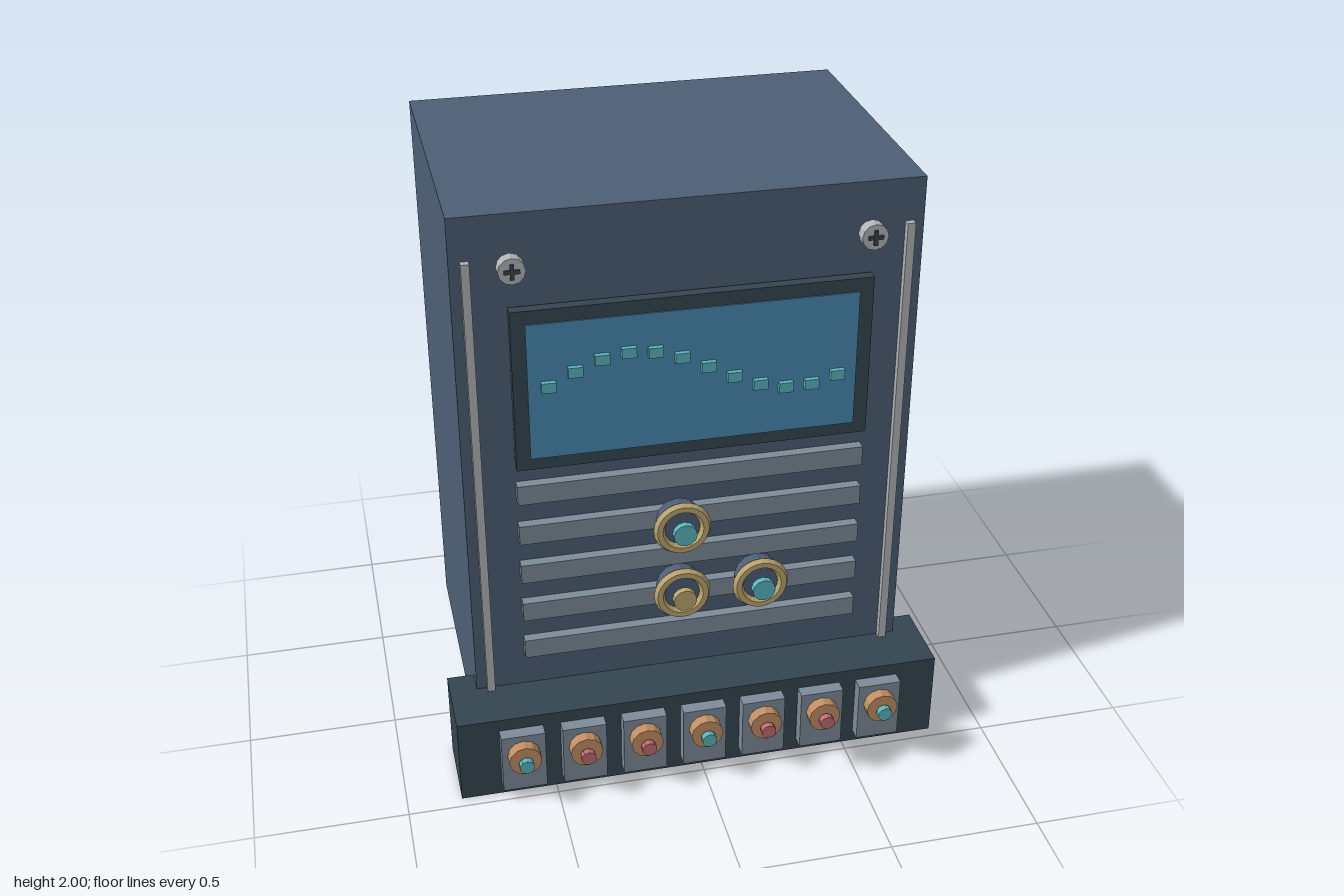
import * as THREE from 'three';

const paint = (name, color, flatShading = false) => {
  const m = new THREE.MeshStandardMaterial({ color, flatShading });
  m.name = name;
  return m;
};

export function createModel() {
  const slate = paint('slate', 0x4e5f75, true);
  const dark = paint('dark slate', 0x344551, true);
  const steel = paint('steel', 0x7d8b99, true);
  const silver = paint('silver', 0xb0b4b5, true);
  const glass = paint('screen blue', 0x488ab2, true);
  const cyan = paint('cyan', 0x58b5be, true);
  const brass = paint('brass', 0xbca66e, true);
  const copper = paint('copper', 0xc18e62, true);
  const rose = paint('rose', 0xbe6c72, true);

  const model = new THREE.Group();
  model.name = 'controlCabinet';

  // Box given by its x, y and z ranges
  const box = (name, mat, [x0, x1], [y0, y1], [z0, z1], parent = model) => {
    const mesh = new THREE.Mesh(new THREE.BoxGeometry(x1 - x0, y1 - y0, z1 - z0), mat);
    mesh.position.set((x0 + x1) / 2, (y0 + y1) / 2, (z0 + z1) / 2);
    mesh.name = name;
    parent.add(mesh);
  };
  // Disc facing the front, between z0 and z1
  const disc = (name, mat, r, z0, z1, sides, parent) => {
    const geo = new THREE.CylinderGeometry(r, r, z1 - z0, sides).rotateX(Math.PI / 2);
    const mesh = new THREE.Mesh(geo, mat);
    mesh.position.z = (z0 + z1) / 2;
    mesh.name = name;
    parent.add(mesh);
  };
  const groupAt = (name, x, y) => {
    const g = new THREE.Group();
    g.name = name;
    g.position.set(x, y, 0);
    model.add(g);
    return g;
  };

  // Cabinet and plinth
  box('cabinet', slate, [-0.73, 0.73], [0.035, 2], [-0.74, 0.28]);
  box('plinth', dark, [-0.82, 0.82], [0, 0.305], [0.2, 0.462]);

  // Edge rails and cross-head screws
  for (const s of [-1, 1]) {
    const x = s * 0.683;
    box('rail', silver, [x - 0.013, x + 0.013], [0.28, 1.86], [0.275, 0.303]);
    const screw = groupAt('screw', s * 0.553, 1.845);
    disc('screwHead', silver, 0.042, 0.307, 0.348, 12, screw);
    box('slotAcross', dark, [-0.024, 0.024], [-0.006, 0.006], [0.346, 0.355], screw);
    box('slotUpright', dark, [-0.006, 0.006], [-0.024, 0.024], [0.346, 0.356], screw);
  }

  // Screen with a dotted wave
  box('screenFrame', dark, [-0.565, 0.565], [1.16, 1.705], [0.292, 0.328]);
  box('screen', glass, [-0.52, 0.52], [1.2, 1.66], [0.325, 0.332]);
  for (let i = 0; i < 12; i++) {
    const x = -0.457 + i * 0.083, y = 1.45 + 0.09 * Math.sin(i * 0.5);
    box('waveDot', cyan, [x - 0.023, x + 0.023], [y - 0.017, y + 0.017], [0.33, 0.349]);
  }

  // Vent slats
  for (let i = 0; i < 5; i++) {
    const y = 1.06 - i * 0.1485;
    box('slat', steel, [-0.565, 0.565], [y - 0.034, y + 0.034], [0.278, 0.315]);
  }

  // Ringed knobs standing in front of the panel
  for (const [x, y, cap] of [[-0.124, 1.12, cyan], [-0.124, 0.885, brass], [0.123, 0.885, cyan]]) {
    const knob = groupAt('knob', x, y);
    disc('knobBody', slate, 0.069, 0.633, 0.69, 12, knob);
    const ring = new THREE.Mesh(new THREE.TorusGeometry(0.071, 0.017, 6, 24), brass);
    ring.position.z = 0.694;
    ring.name = 'knobRing';
    knob.add(ring);
    disc('knobCap', cap, 0.036, 0.718, 0.739, 12, knob);
  }

  // Row of sockets on the plinth
  for (let i = 0; i < 7; i++) {
    const socket = groupAt('socket', (i - 3) * 0.2035, 0.188);
    box('socketPlate', steel, [-0.073, 0.073], [-0.143, 0.074], [0.455, 0.506], socket);
    disc('socketNut', copper, 0.054, 0.5, 0.544, 12, socket);
    disc('socketPin', i % 3 ? rose : cyan, 0.025, 0.555, 0.577, 10, socket);
  }
  return model;
}
